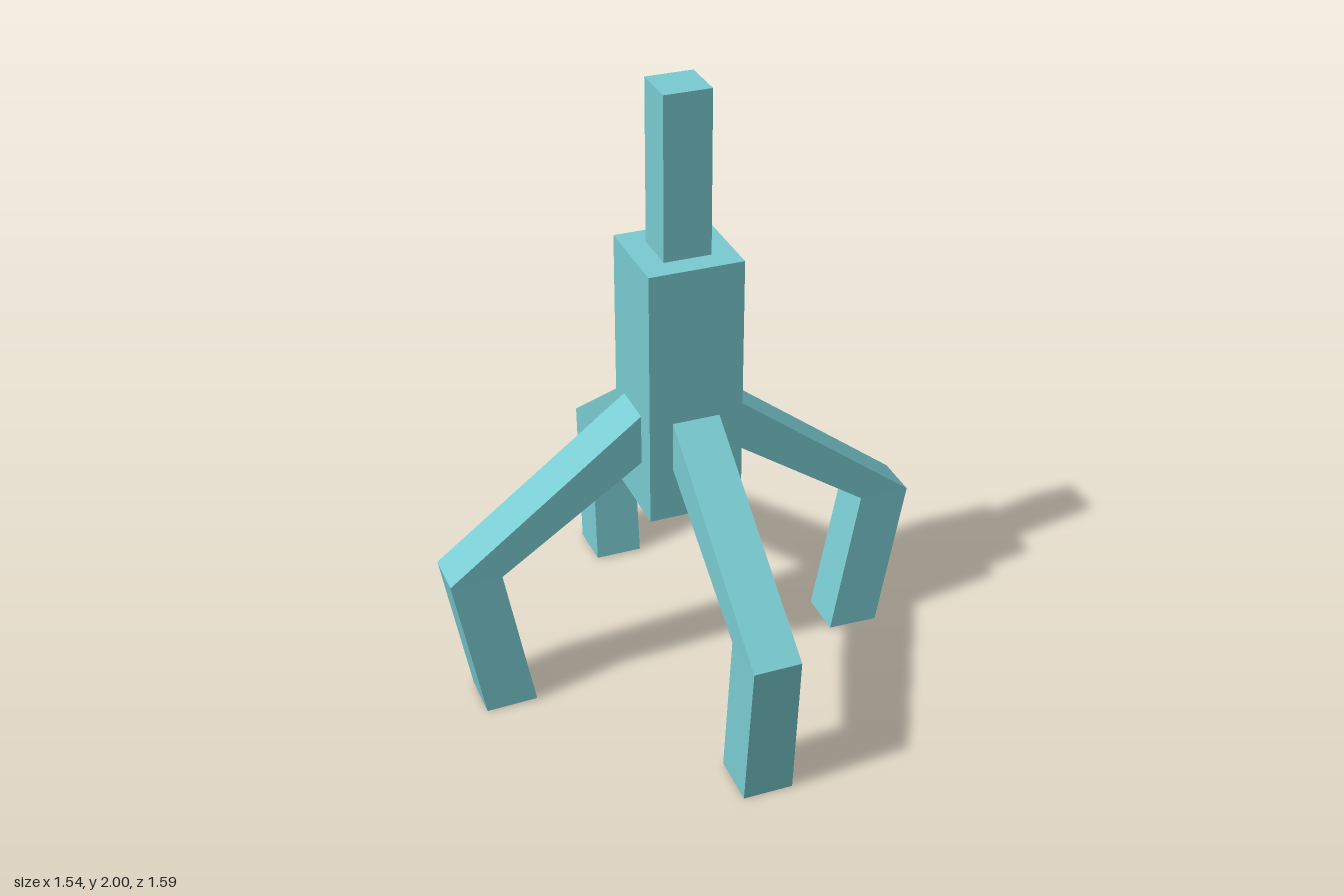
import * as THREE from 'three';

const material = new THREE.MeshStandardMaterial({ color: 0x7accd2, flatShading: true });

// Square upright block from y0 to y1
function block(name, width, y0, y1) {
  const mesh = new THREE.Mesh(new THREE.BoxGeometry(width, y1 - y0, width), material);
  mesh.position.y = (y0 + y1) / 2;
  mesh.name = name;
  return mesh;
}

// Bent leg: sloping arm from the body to the knee, then a shin to the ground
function leg(name, knee, foot, angle) {
  const outline = [
    [0.15, 0.975], [knee, 0.5], [foot, 0],
    [foot - 0.165, 0.005], [knee - 0.165, 0.5], [0.15, 0.81],
  ].map(([x, y]) => new THREE.Vector2(x, y));
  const geometry = new THREE.ExtrudeGeometry(new THREE.Shape(outline), { depth: 0.15, bevelEnabled: false });
  geometry.translate(0, 0, -0.075);

  // Foot is slightly wider than the rest
  const p = geometry.attributes.position;
  for (let i = 0; i < p.count; i++) {
    if (p.getY(i) < 0.1) p.setZ(i, Math.sign(p.getZ(i)) * 0.079);
  }
  geometry.computeVertexNormals();

  const mesh = new THREE.Mesh(geometry, material);
  mesh.rotation.y = angle;
  mesh.name = name;
  return mesh;
}

export function createModel() {
  const model = new THREE.Group();
  model.name = 'grabberClaw';
  model.add(
    block('body', 0.3, 0.64, 1.48),
    block('topRod', 0.15, 1.48, 2),
    leg('leftLeg', 0.772, 0.68, 0),
    leg('rightLeg', 0.772, 0.68, Math.PI),
    leg('frontLeg', 0.797, 0.75, -Math.PI / 2),
    leg('backLeg', 0.797, 0.75, Math.PI / 2),
  );
  return model;
}
